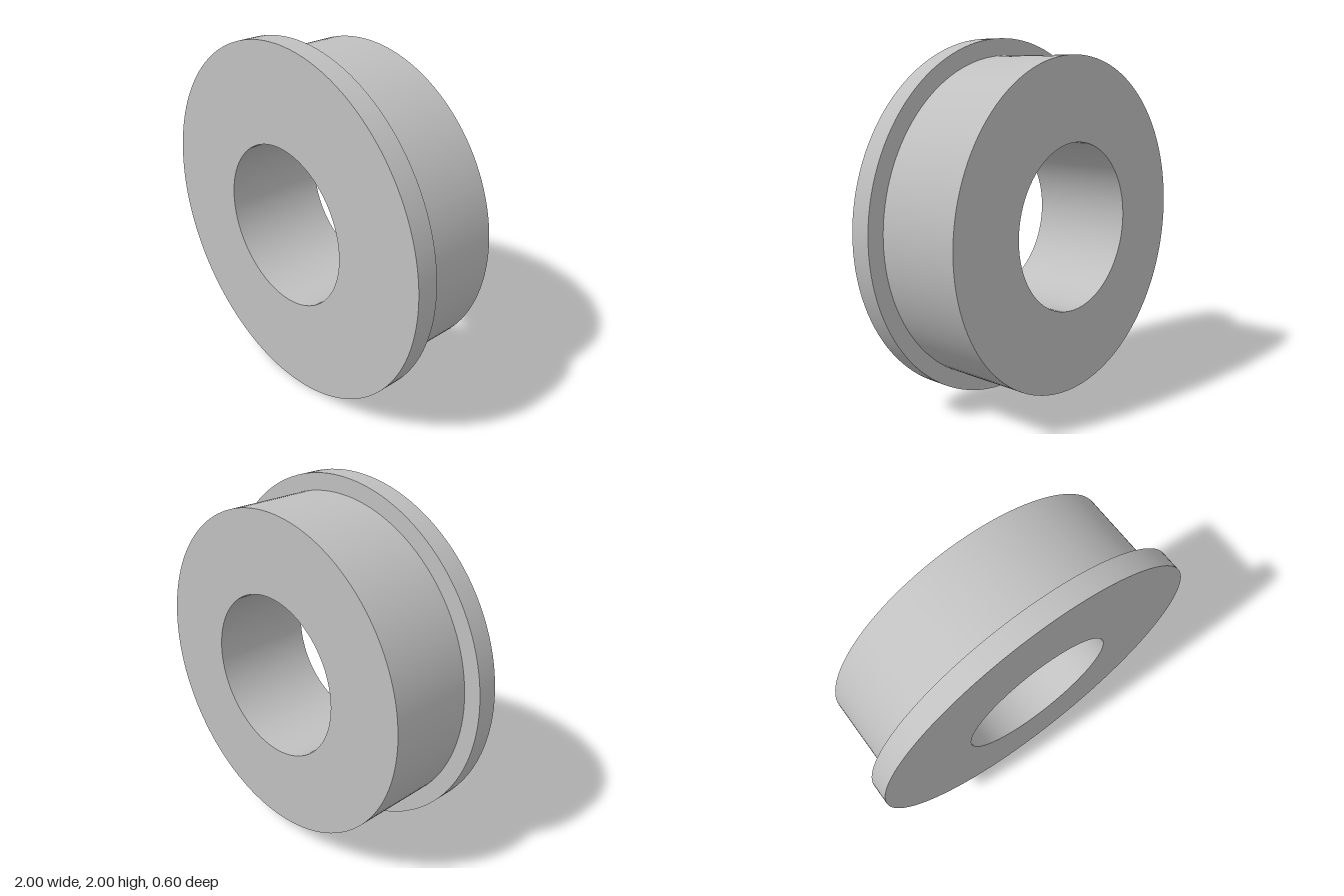
import * as THREE from 'three';
import { toCreasedNormals } from 'three/addons/utils/BufferGeometryUtils.js';

const OUTER = 1, BODY = 0.907, BORE = 0.456;
const BACK = -0.302, STEP = 0.182, FRONT = 0.302;

export function createModel() {
  const group = new THREE.Group();
  group.name = 'flangedBushing';

  const metal = new THREE.MeshStandardMaterial({ color: 0xc0c0c0 });
  metal.name = 'plain grey';

  // Closed cross-section: back face, body wall, flange step, rim, front face, bore
  const profile = [
    [BORE, BACK], [BODY, BACK], [BODY, STEP], [OUTER, STEP],
    [OUTER, FRONT], [BORE, FRONT], [BORE, BACK],
  ].map(([r, z]) => new THREE.Vector2(r, z));

  // Revolve, then turn the axis to face the front; keep the rims sharp
  const geometry = new THREE.LatheGeometry(profile, 128).rotateX(Math.PI / 2);
  const ring = new THREE.Mesh(toCreasedNormals(geometry, Math.PI / 6), metal);
  ring.name = 'flangedRing';
  ring.position.y = OUTER;
  group.add(ring);

  return group;
}
